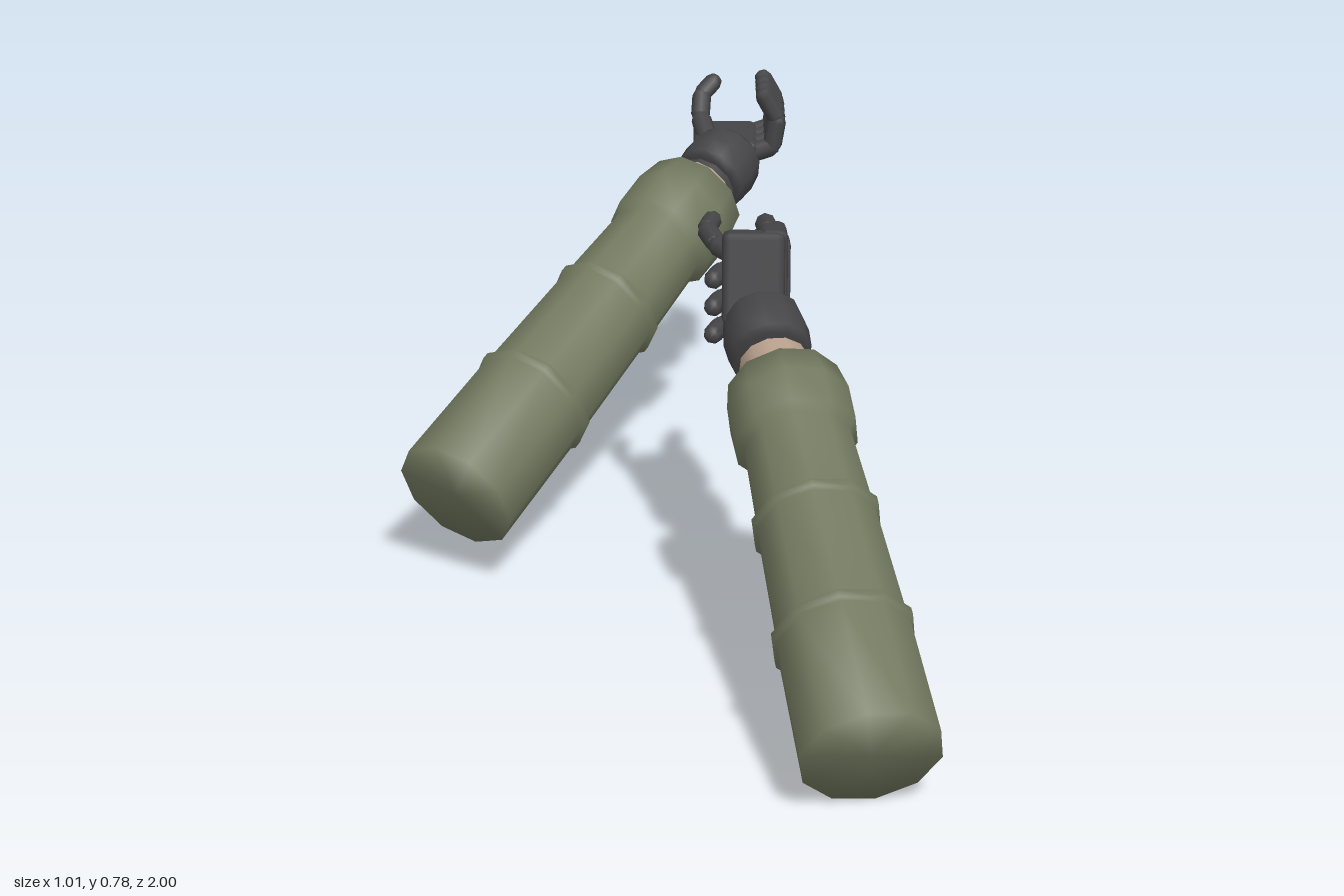
import * as THREE from 'three';
import { RoundedBoxGeometry } from 'three/addons/geometries/RoundedBoxGeometry.js';

const material = (name, color) => {
  const m = new THREE.MeshStandardMaterial({ color });
  m.name = name;
  return m;
};
const UP = new THREE.Vector3(0, 1, 0);
const V = (p) => new THREE.Vector3(...p);

export function createModel() {
  const root = new THREE.Group();
  root.name = 'sleevedArms';
  const cloth = material('olive cloth', 0x737a60);
  const glove = material('dark glove', 0x454547);
  const skin = material('skin', 0xb59c8a);

  // Places a shape modelled along +y so that it starts at a and points to b
  const along = (geo, mat, name, a, b, parent, centred = true) => {
    const mesh = new THREE.Mesh(geo, mat);
    const dir = b.clone().sub(a);
    mesh.position.copy(a);
    if (centred) mesh.position.addScaledVector(dir, 0.5);
    mesh.quaternion.setFromUnitVectors(UP, dir.normalize());
    mesh.name = name;
    parent.add(mesh);
    return mesh;
  };

  // Sleeve profile: radius, fraction of the length
  const profile = [
    [0, 0], [0.128, 0], [0.124, 0.285], [0.131, 0.29], [0.131, 0.308], [0.121, 0.318],
    [0.113, 0.59], [0.121, 0.595], [0.121, 0.613], [0.111, 0.623],
    [0.104, 0.82], [0.119, 0.84], [0.121, 0.93], [0.109, 1], [0.06, 0.99],
  ];
  const sleeve = (a, b, parent) => {
    const len = a.distanceTo(b);
    const pts = profile.map(([r, t]) => new THREE.Vector2(r, t * len));
    along(new THREE.LatheGeometry(pts, 10), cloth, 'sleeve', a, b, parent, false);
  };

  const tube = (name, mat, a, b, r0, r1, parent) =>
    along(new THREE.CylinderGeometry(r1, r0, a.distanceTo(b), 12), mat, name, a, b, parent);

  // Bulging glove cuff
  const gloveCuff = (a, b, parent) => {
    const len = a.distanceTo(b);
    const pts = [[0, 0], [0.072, 0], [0.08, 0.15], [0.083, 0.5], [0.076, 0.9], [0.06, 1.05], [0, 1.05]]
      .map(([r, t]) => new THREE.Vector2(r, t * len));
    along(new THREE.LatheGeometry(pts, 12), glove, 'gloveCuff', a, b, parent, false);
  };

  // Jointed finger: one stubby capsule between each pair of points
  const finger = (name, points, r, parent) => {
    const g = new THREE.Group();
    g.name = name;
    for (let i = 0; i < points.length - 1; i++) {
      const a = V(points[i]), b = V(points[i + 1]);
      along(new THREE.CapsuleGeometry(r * (1 - 0.06 * i), a.distanceTo(b) * 0.8, 2, 8), glove,
        'fingerSegment', a, b, g);
    }
    parent.add(g);
  };

  const block = (name, size, pos, rot, parent) => {
    const mesh = new THREE.Mesh(new RoundedBoxGeometry(...size, 1, 0.014), glove);
    mesh.position.set(...pos);
    mesh.rotation.set(...rot);
    mesh.name = name;
    parent.add(mesh);
  };

  // Near arm: upright hand with the first finger reaching forward
  const near = new THREE.Group();
  near.name = 'nearArm';
  root.add(near);
  sleeve(V([0.37, 0.112, 0.945]), V([0.232, 0.487, 0.19]), near);
  tube('wrist', skin, V([0.237, 0.475, 0.215]), V([0.208, 0.525, 0.125]), 0.07, 0.066, near);
  gloveCuff(V([0.21, 0.522, 0.145]), V([0.19, 0.57, 0.03]), near);
  block('backOfHand', [0.055, 0.2, 0.165], [0.213, 0.627, -0.032], [-0.2, 0, 0], near);
  block('backPlate', [0.012, 0.15, 0.12], [0.24, 0.627, -0.032], [-0.2, 0, 0], near);
  block('heelOfHand', [0.12, 0.18, 0.07], [0.175, 0.645, 0.025], [-0.2, 0, 0], near);
  finger('firstFinger', [[0.205, 0.7, -0.09], [0.2, 0.695, -0.16], [0.208, 0.665, -0.2], [0.195, 0.638, -0.25]], 0.021, near);
  for (let i = 0; i < 3; i++) {
    const y = 0.61 - i * 0.051, z = i * 0.016;
    finger('curledFinger', [[0.21, y + 0.02, -0.09 + z], [0.175, y, -0.135 + z],
      [0.115, y - 0.005, -0.13 + z], [0.097, y - 0.005, -0.07 + z]], 0.022, near);
  }
  finger('thumb', [[0.15, 0.68, 0.01], [0.105, 0.69, -0.04], [0.085, 0.7, -0.1], [0.097, 0.705, -0.15]], 0.022, near);

  // Far arm: open hand, palm up, with the fingers curling upward
  const far = new THREE.Group();
  far.name = 'farArm';
  root.add(far);
  sleeve(V([-0.405, 0.195, 0.045]), V([0.06, 0.573, -0.695]), far);
  tube('wristBand', glove, V([0.045, 0.56, -0.67]), V([0.095, 0.598, -0.75]), 0.068, 0.068, far);
  tube('wrist', skin, V([0.073, 0.583, -0.715]), V([0.077, 0.586, -0.721]), 0.07, 0.07, far);
  gloveCuff(V([0.084, 0.59, -0.73]), V([0.138, 0.63, -0.825]), far);
  block('palm', [0.14, 0.055, 0.185], [0.125, 0.633, -0.89], [0, 0, 0], far);
  block('backPlate', [0.11, 0.012, 0.15], [0.125, 0.604, -0.89], [0, 0, 0], far);
  for (let i = 0; i < 4; i++) {
    const z = -0.822 - i * 0.049;
    finger('upturnedFinger', [[0.175, 0.63, z], [0.226, 0.648, z], [0.236, 0.71, z], [0.205, 0.765, z]], 0.022, far);
  }
  finger('thumb', [[0.09, 0.645, -0.85], [0.07, 0.685, -0.92], [0.073, 0.725, -0.96], [0.1, 0.75, -0.98]], 0.022, far);

  return root;
}
